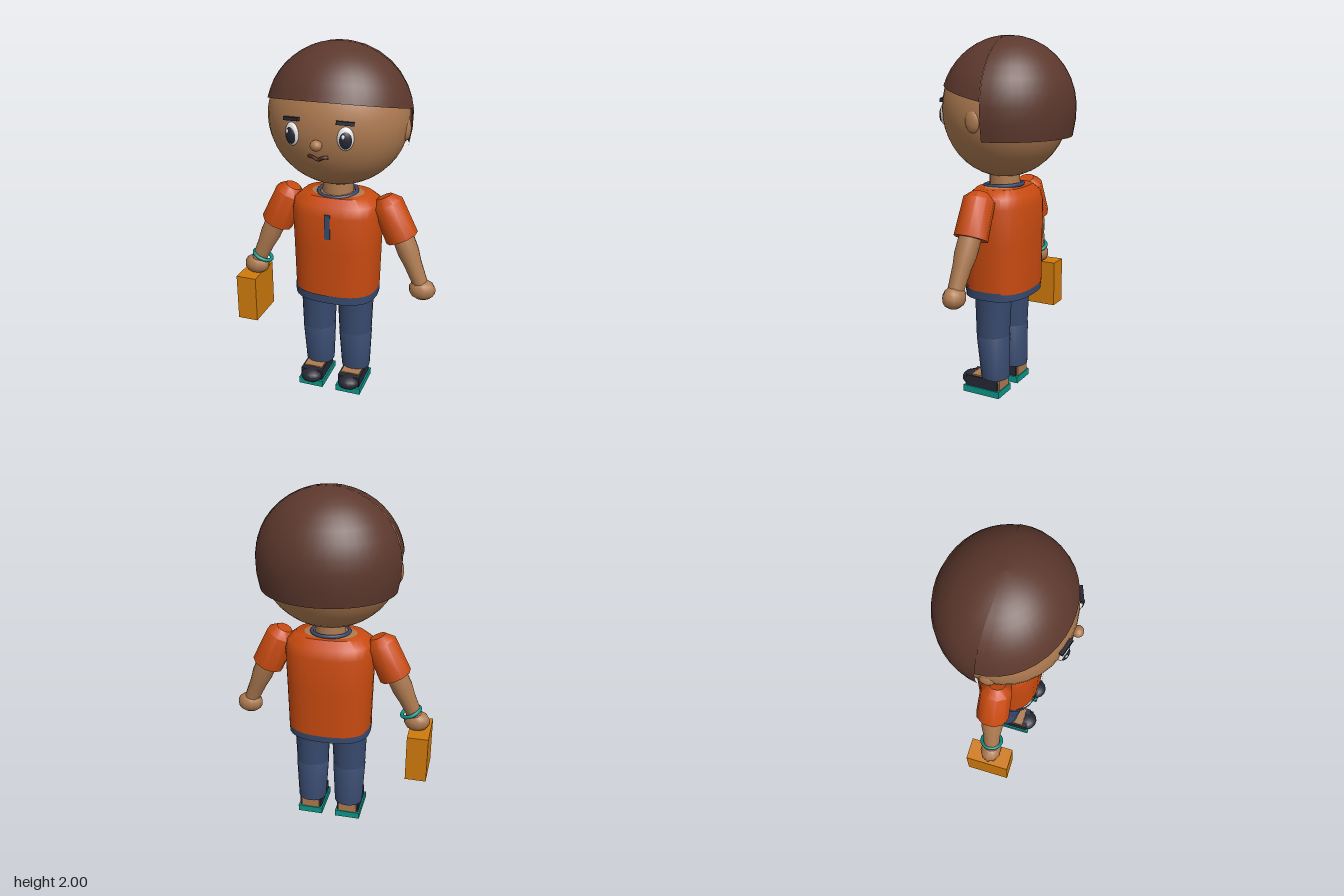
import * as THREE from 'three';
import { toCreasedNormals } from 'three/addons/utils/BufferGeometryUtils.js';

const mat = (name, color, side = THREE.FrontSide) => {
  const m = new THREE.MeshStandardMaterial({ color, side });
  m.name = name;
  return m;
};

const V = (x, y, z) => new THREE.Vector3(x, y, z);

// Grid surface from a point rule; rows run bottom to top, columns run front -> +x -> back
function gridSurface(rows, cols, point, closed) {
  const pos = [], idx = [];
  const w = closed ? cols : cols + 1;
  for (let i = 0; i <= rows; i++)
    for (let j = 0; j < w; j++) pos.push(...point(i, j / cols));
  for (let i = 0; i < rows; i++)
    for (let j = 0; j < cols; j++) {
      const k = (j + 1) % w;
      const a = i * w + j, b = i * w + k, c = a + w, d = b + w;
      idx.push(a, b, d, a, d, c);
    }
  const g = new THREE.BufferGeometry();
  g.setAttribute('position', new THREE.Float32BufferAttribute(pos, 3));
  g.setIndex(idx);
  g.computeVertexNormals();
  return g;
}

// Rounded-box loft through sections [y, rx, rz, cx, cz]
function loft(sections, power = 2, cols = 28) {
  const p = 2 / power;
  const bend = v => Math.sign(v) * Math.abs(v) ** p;
  return toCreasedNormals(gridSurface(sections.length - 1, cols, (i, u) => {
    const [y, rx, rz, cx = 0, cz = 0] = sections[i];
    const a = u * Math.PI * 2;
    return [cx + rx * bend(Math.sin(a)), y, cz + rz * bend(Math.cos(a))];
  }, true), 0.7);
}

// Half of the hair shell between two angles, hanging down to a rim height
function hairShell(from, to, rim, grow) {
  const rows = 10;
  return gridSurface(rows, 20, (i, u) => {
    const a = from + (to - from) * u;
    const dy = rim(-0.017 + 0.357 * Math.cos(a)) - 1.62;
    const low = Math.asin(dy / (dy < 0 ? 0.475 : 0.38));
    const el = low + (Math.PI / 2 - low) * i / rows;
    const r = Math.cos(el) * grow;
    const y = 1.62 + Math.sin(el) * (el < 0 ? 0.475 : 0.38);
    return [0.39 * r * Math.sin(a), y, -0.017 + 0.357 * r * Math.cos(a)];
  }, false);
}

export function createModel() {
  const skin = mat('skin', 0xad7a50);
  const hair = mat('hair brown', 0x5c382d, THREE.DoubleSide);
  const shirt = mat('shirt orange', 0xc84a10, THREE.DoubleSide);
  const navy = mat('denim navy', 0x384a6e, THREE.DoubleSide);
  const teal = mat('teal', 0x0d9488);
  const ochre = mat('bag ochre', 0xd07a0c);
  const dark = mat('shoe black', 0x272734);
  const white = mat('eye white', 0xf4f4f4);
  const lip = mat('lip brown', 0x50291f);

  const model = new THREE.Group();
  model.name = 'figure';
  const add = (name, geo, material, x = 0, y = 0, z = 0) => {
    const m = new THREE.Mesh(geo, material);
    m.name = name;
    m.position.set(x, y, z);
    model.add(m);
    return m;
  };
  const ball = (name, material, p, r, seg = 16) => {
    const m = add(name, new THREE.SphereGeometry(1, seg, Math.max(6, seg * 0.7 | 0)), material, ...p);
    m.scale.set(...r);
    return m;
  };
  const box = (name, material, p, s) => add(name, new THREE.BoxGeometry(...s), material, ...p);
  // Turned shape standing at a and pointing to b; profile is [radius, distance]
  const limb = (name, material, a, b, profile, seg = 12) => {
    const pts = profile.map(([r, t]) => new THREE.Vector2(r, t));
    const m = add(name, toCreasedNormals(new THREE.LatheGeometry(pts, seg), 0.75), material, a.x, a.y, a.z);
    m.quaternion.setFromUnitVectors(V(0, 1, 0), b.clone().sub(a).normalize());
    return m;
  };

  // Head and hair
  ball('head', skin, [0, 1.615, 0], [0.38, 0.368, 0.333], 32);
  const split = 1.677;
  add('hairFringe', hairShell(-split, split, z => 1.682 + 0.22 * z, 1.01), hair);
  add('hairBack', hairShell(split, 2 * Math.PI - split, () => 1.47, 1), hair);

  // Face
  ball('nose', skin, [0, 1.547, 0.345], [0.032, 0.028, 0.03], 12);
  const smile = new THREE.CatmullRomCurve3([
    V(-0.052, 1.482, 0.312), V(-0.025, 1.479, 0.32), V(0, 1.468, 0.321),
    V(0.025, 1.479, 0.32), V(0.052, 1.482, 0.312)]);
  add('mouth', new THREE.TubeGeometry(smile, 16, 0.009, 6), lip);

  for (const s of [-1, 1]) {
    const side = s > 0 ? 'left' : 'right';
    ball(side + 'Ear', skin, [s * 0.366, 1.572, -0.004], [0.024, 0.06, 0.042], 14);

    // Eye layers stacked along the face normal
    const eye = new THREE.Group();
    eye.name = side + 'Eye';
    eye.position.set(s * 0.14, 1.585, 0.308);
    eye.rotation.y = s * 0.34;
    model.add(eye);
    const layers = [
      ['eyeWhite', white, 0, 0, 0, 0.042, 0.06, 0.02],
      ['iris', dark, 0, -0.005, 0.009, 0.033, 0.045, 0.018],
      ['glint', white, -0.012, 0.014, 0.022, 0.009, 0.012, 0.006]];
    for (const [n, m, x, y, z, ...r] of layers) {
      const e = ball(n, m, [x, y, z], r, 16);
      eye.add(e);
    }
    const brow = box(side + 'Brow', dark, [s * 0.14, 1.663, 0.314], [0.09, 0.018, 0.02]);
    brow.rotation.set(-0.1, s * 0.34, s * -0.06);
  }

  // Neck and torso
  add('neck', new THREE.CylinderGeometry(0.082, 0.088, 0.14, 16), skin, 0, 1.23, 0.01);
  add('shirt', loft([
    [0.63, 0.236, 0.184, 0, 0.01], [0.9, 0.243, 0.185, 0, 0.01], [1.1, 0.25, 0.184, 0, 0.01],
    [1.155, 0.24, 0.168, 0, 0.01], [1.195, 0.192, 0.125, 0, 0.01], [1.196, 0, 0, 0, 0.01]], 2.6), shirt);
  ball('neckline', skin, [0, 1.188, 0.01], [0.165, 0.017, 0.112], 24);
  const collar = add('collar', new THREE.TorusGeometry(0.105, 0.011, 8, 24), navy, 0, 1.2, 0.015);
  collar.rotation.x = Math.PI / 2 + 0.06;
  box('placket', navy, [0, 1.05, 0.195], [0.03, 0.14, 0.01]);
  add('waistband', loft([[0.59, 0.236, 0.185, 0, 0.015], [0.638, 0.238, 0.187, 0, 0.015]], 2.6), navy);
  add('hips', loft([[0.595, 0, 0, 0, 0.01], [0.596, 0.2, 0.15, 0, 0.01], [0.66, 0.2, 0.15, 0, 0.01]], 2.6), skin);

  for (const s of [-1, 1]) {
    const side = s > 0 ? 'left' : 'right';

    // Arm
    const cuff = V(s * 0.368, 0.968, 0.012), shoulder = V(s * 0.263, 1.195, 0.01);
    limb(side + 'Sleeve', shirt, cuff, shoulder,
      [[0, 0.002], [0.092, 0], [0.086, 0.21], [0.045, 0.25], [0, 0.252]], 10);
    const wrist = V(s * 0.49, 0.71, 0.036), elbow = V(s * 0.368, 0.985, 0.012);
    limb(side + 'Forearm', skin, wrist, elbow, [[0.042, 0], [0.05, 0.13], [0.06, 0.2], [0.06, 0.3]], 12);
    ball(side + 'Hand', skin, [s * 0.498, 0.684, 0.036], [0.076, 0.06, 0.06], 10);

    // Trouser leg with a seam at the knee
    add(side + 'Thigh', loft([[0.355, 0.094, 0.093, s * 0.112, 0.024],
      [0.625, 0.105, 0.103, s * 0.11, 0.022]], 2.1, 20), navy);
    add(side + 'Shin', loft([[0.105, 0, 0, s * 0.112, 0.01], [0.104, 0.083, 0.08, s * 0.112, 0.01],
      [0.352, 0.096, 0.094, s * 0.112, 0.023], [0.362, 0.09, 0.09, s * 0.112, 0.023]], 2.1, 20), navy);

    // Foot and shoe
    const x = s * 0.115;
    box(side + 'Foot', skin, [x, 0.055, 0.045], [0.11, 0.11, 0.18]);
    box(side + 'Sole', teal, [x, 0.0215, 0.065], [0.148, 0.039, 0.23]);
    box(side + 'Shoe', dark, [x, 0.071, 0.065], [0.13, 0.062, 0.2]);
    ball(side + 'Toe', dark, [x, 0.066, 0.155], [0.066, 0.042, 0.065], 14);
  }

  // Bracelet and bag on the right hand
  const bracelet = add('bracelet', new THREE.TorusGeometry(0.055, 0.011, 8, 20), teal, -0.462, 0.742, 0.03);
  bracelet.quaternion.setFromUnitVectors(V(0, 0, 1), V(0.42, 0.9, -0.08).normalize());
  box('bag', ochre, [-0.52, 0.502, 0.033], [0.12, 0.275, 0.245]);

  return model;
}
